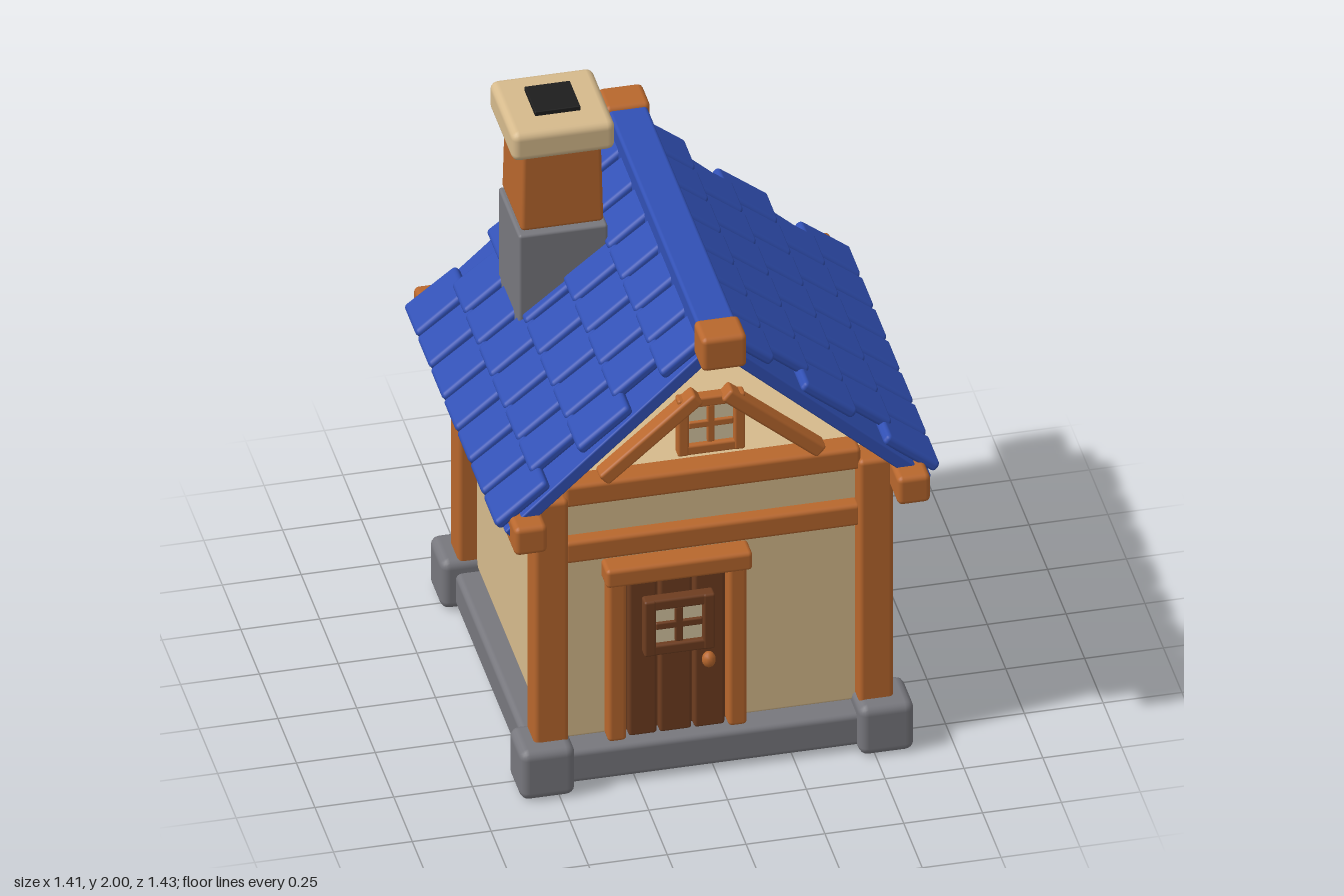
import * as THREE from 'three';
import { RoundedBoxGeometry } from 'three/addons/geometries/RoundedBoxGeometry.js';

const mat = (name, color) => {
  const m = new THREE.MeshStandardMaterial({ color });
  m.name = name;
  return m;
};

export function createModel() {
  const house = new THREE.Group();
  house.name = 'cottage';

  const wood = mat('orange wood', 0xb8672d);
  const darkWood = mat('dark wood', 0x6e3d20);
  const plaster = mat('plaster', 0xd6ba8c);
  const glass = mat('pane', 0xd8c6a2);
  const stone = mat('stone', 0x77777d);
  const blue = mat('roof blue', 0x3150b4);
  const soot = mat('soot', 0x1e1e1e);

  // Softened box given by its x, y and z ranges
  function block(name, material, [x0, x1], [y0, y1], [z0, z1], r = 0.014, parent = house) {
    const w = x1 - x0, h = y1 - y0, d = z1 - z0;
    const radius = Math.min(r, w * 0.45, h * 0.45, d * 0.45);
    const mesh = new THREE.Mesh(new RoundedBoxGeometry(w, h, d, 2, radius), material);
    mesh.position.set((x0 + x1) / 2, (y0 + y1) / 2, (z0 + z1) / 2);
    mesh.name = name;
    parent.add(mesh);
    return mesh;
  }

  // Narrow the top or bottom of a block: scale x and z from bottom to top
  function taper(mesh, bottom, top) {
    const p = mesh.geometry.attributes.position;
    mesh.geometry.computeBoundingBox();
    const { min, max } = mesh.geometry.boundingBox;
    for (let i = 0; i < p.count; i++) {
      const k = THREE.MathUtils.mapLinear(p.getY(i), min.y, max.y, bottom, top);
      p.setX(i, p.getX(i) * k);
      p.setZ(i, p.getZ(i) * k);
    }
    return mesh;
  }

  // Framed window facing +z, centred on its own origin, with one cross of bars
  function windowUnit(name, w, h, bar, frameMat) {
    const g = new THREE.Group();
    g.name = name;
    const x = w / 2, y = h / 2, b = bar / 3;
    block('windowPane', glass, [-x + bar / 2, x - bar / 2], [-y + bar / 2, y - bar / 2], [-0.005, 0.004], 0.002, g);
    for (const s of [-1, 1]) {
      const c = s * (x - bar / 2), e = s * (y - bar / 2);
      block('windowStile', frameMat, [c - bar / 2, c + bar / 2], [-y, y], [-0.02, 0.024], 0.008, g);
      block('windowRail', frameMat, [-x, x], [e - bar / 2, e + bar / 2], [-0.02, 0.022], 0.008, g);
    }
    block('windowBar', frameMat, [-b, b], [-y + bar, y - bar], [-0.01, 0.014], 0.005, g);
    block('windowBar', frameMat, [-x + bar, x - bar], [-b, b], [-0.01, 0.014], 0.005, g);
    house.add(g);
    return g;
  }

  // Foundation and walls
  block('foundation', stone, [-0.58, 0.58], [0.015, 0.135], [-0.58, 0.58], 0.02);
  block('walls', plaster, [-0.51, 0.51], [0.142, 1.07], [-0.51, 0.51], 0.01);

  // Corner stones, posts and eave beam ends
  for (const sx of [-1, 1]) for (const sz of [-1, 1]) {
    const range = (s, a, b) => (s > 0 ? [a, b] : [-b, -a]);
    block('cornerStone', stone, range(sx, 0.45, 0.625), [0, 0.18], range(sz, 0.45, 0.625), 0.03);
    block('cornerPost', wood, range(sx, 0.46, 0.57), [0.16, 1.07], range(sz, 0.46, 0.57), 0.016);
    block('eaveBeamEnd', wood, range(sx, 0.555, 0.66), [0.968, 1.07], range(sz, 0.56, 0.69), 0.018);
  }

  // Wall beams
  block('frontTopBeam', wood, [-0.47, 0.47], [1.03, 1.11], [0.47, 0.555]);
  block('frontMiddleBeam', wood, [-0.47, 0.47], [0.82, 0.9], [0.47, 0.555]);
  block('sideBeam', wood, [0.47, 0.555], [0.3, 0.385], [-0.47, 0.47]);

  // Door with planks, frame, window and knob
  for (const [a, b] of [[-0.265, -0.175], [-0.167, -0.065], [-0.057, 0.04]])
    block('doorPlank', darkWood, [a, b], [0.14, 0.72], [0.5, 0.545], 0.01);
  block('doorBacking', darkWood, [-0.28, 0.06], [0.145, 0.73], [0.5, 0.514], 0.004);
  for (const [a, b] of [[-0.335, -0.275], [0.047, 0.107]])
    block('doorJamb', wood, [a, b], [0.14, 0.74], [0.5, 0.565]);
  block('doorLintel', wood, [-0.345, 0.12], [0.728, 0.795], [0.5, 0.585]);
  windowUnit('doorWindow', 0.225, 0.205, 0.038, darkWood).position.set(-0.112, 0.558, 0.562);
  const knob = new THREE.Mesh(new THREE.SphereGeometry(0.022, 12, 8), wood);
  knob.name = 'doorKnob';
  knob.scale.y = 1.25;
  knob.position.set(-0.015, 0.402, 0.56);
  house.add(knob);

  // Side window with sill
  const side = windowUnit('sideWindow', 0.41, 0.375, 0.038, wood);
  side.rotation.y = Math.PI / 2;
  side.position.set(0.525, 0.637, 0.045);
  block('windowSill', wood, [0.5, 0.6], [0.398, 0.435], [-0.19, 0.285], 0.01);

  // Open gable: small window and two slanted braces
  windowUnit('gableWindow', 0.215, 0.21, 0.036, wood).position.set(0, 1.26, 0.515);
  for (const s of [-1, 1]) {
    const brace = block('gableBrace', wood, [-0.2, 0.2], [-0.024, 0.024], [-0.03, 0.03], 0.01);
    brace.position.set(s * 0.195, 1.243, 0.525);
    brace.rotation.z = -s * 0.71;
  }

  // Roof: each slope is a panel with five staggered rows of tiles
  const angle = THREE.MathUtils.degToRad(42.5);
  const tileGeo = new RoundedBoxGeometry(0.21, 0.036, 0.164, 2, 0.014);
  const tp = tileGeo.attributes.position;
  for (let i = 0; i < tp.count; i++) {
    const x = tp.getX(i), z = tp.getZ(i);
    tp.setZ(i, z * (0.965 + x * 0.33));
    tp.setY(i, tp.getY(i) - 1.2 * z * z);
  }
  tileGeo.computeBoundingSphere();
  for (const turn of [0, Math.PI]) {
    const half = new THREE.Group();
    half.name = 'roofHalf';
    half.rotation.y = turn;
    const slope = new THREE.Group();
    slope.name = 'roofSlope';
    slope.position.y = 1.615;
    slope.rotation.z = -angle;
    half.add(slope);
    house.add(half);
    block('roofPanel', blue, [0, 0.9], [-0.022, 0.02], [-0.625, 0.625], 0.006, slope);
    for (let row = 0; row < 5; row++) {
      const count = row % 2 ? 6 : 7;
      for (let i = 0; i < count; i++) {
        const tile = new THREE.Mesh(tileGeo, blue);
        tile.name = 'roofTile';
        tile.position.set(0.8 - row * 0.1775, 0.046, (i - (count - 1) / 2) * 0.178);
        tile.rotation.z = 0.07;
        slope.add(tile);
      }
    }
  }

  // Ridge beam and its wooden ends
  block('ridgeBeam', blue, [-0.062, 0.062], [1.59, 1.69], [-0.61, 0.61], 0.012);
  for (const s of [-1, 1])
    block('ridgeEnd', wood, [-0.072, 0.072], [1.58, 1.702], s > 0 ? [0.59, 0.713] : [-0.713, -0.59], 0.018);

  // Chimney
  block('chimneyBase', stone, [-0.455, -0.172], [1.15, 1.592], [-0.41, -0.13], 0.01);
  taper(block('chimneyStack', wood, [-0.447, -0.183], [1.602, 1.9], [-0.4, -0.135], 0.014), 1, 0.95);
  block('chimneyCap', plaster, [-0.48, -0.152], [1.88, 1.985], [-0.432, -0.108], 0.026);
  block('chimneyFlue', soot, [-0.387, -0.243], [1.96, 2], [-0.345, -0.2], 0.003);

  return house;
}
